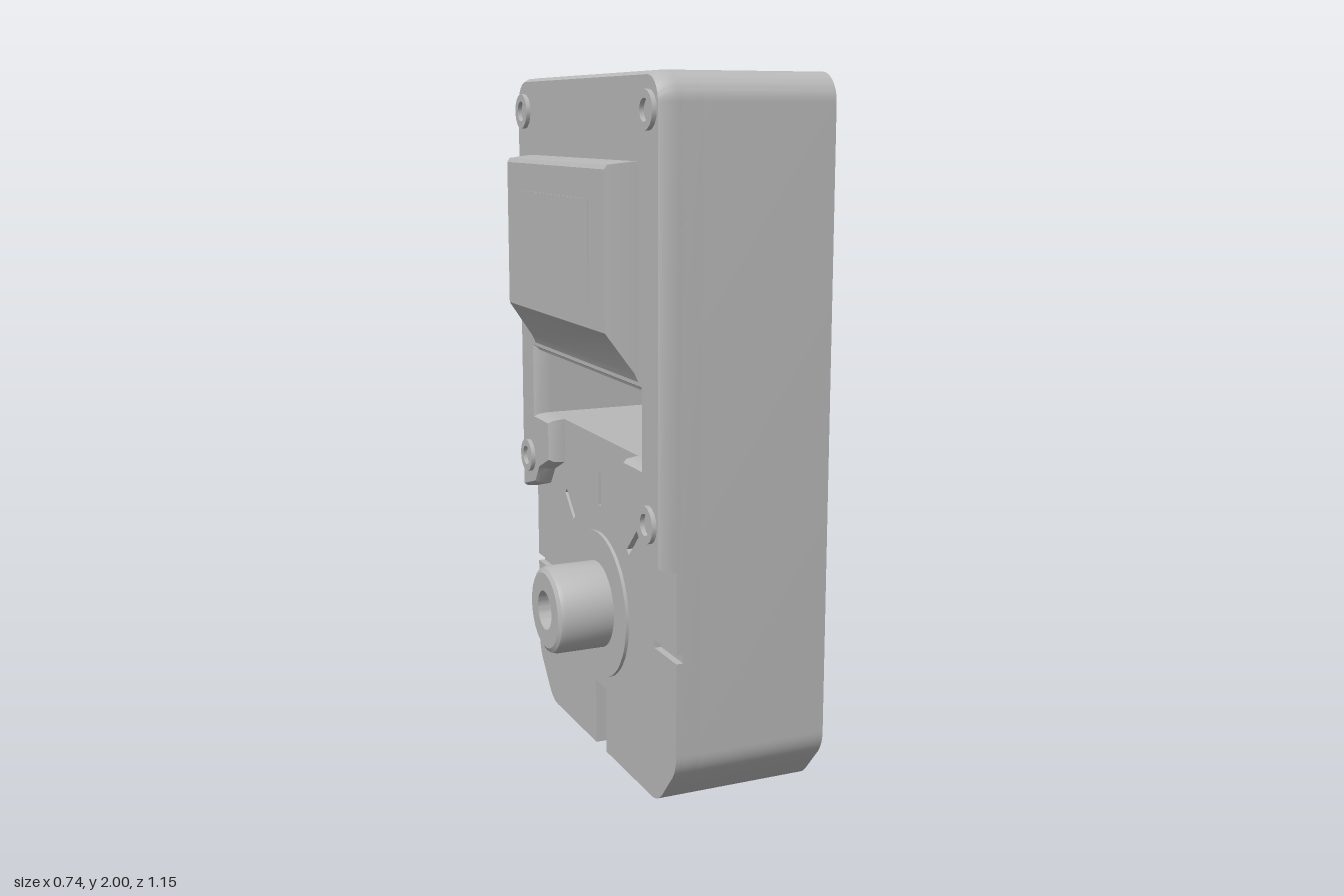
import * as THREE from 'three';
import { toCreasedNormals } from 'three/addons/utils/BufferGeometryUtils.js';

export function createModel() {
  const root = new THREE.Group();
  root.name = 'meterCase';
  const body = new THREE.Group();
  body.name = 'case';
  body.rotation.y = 0.17; // the case stands slightly turned
  root.add(body);
  const grey = new THREE.MeshStandardMaterial({ color: 0xb8b8b8 });
  grey.name = 'lightGrey';
  const C = 0.011; // middle of the case across its width

  const add = (name, geo) => {
    const m = new THREE.Mesh(toCreasedNormals(geo, 0.5), grey);
    m.name = name;
    body.add(m);
    return m;
  };
  // Extrude a (width, height) outline from x = from towards -x
  const slab = (name, shape, from, to, opts = {}) => {
    const g = new THREE.ExtrudeGeometry(shape, { depth: from - to, bevelEnabled: false, curveSegments: 8, ...opts });
    g.rotateY(-Math.PI / 2);
    g.translate(from, 0, C);
    return add(name, g);
  };
  const poly = (pts, Type = THREE.Path) => new Type(pts.map(([x, y]) => new THREE.Vector2(x, y)));
  const rect = (x0, y0, x1, y1, Type) => poly([[x0, y0], [x1, y0], [x1, y1], [x0, y1]], Type);

  // Case outline: round top corners, chamfered bottom corners
  const W = 0.545, R = 0.08;
  const outline = (notch, ticks) => {
    const s = new THREE.Shape();
    s.moveTo(-0.38, 0);
    if (notch) {
      s.lineTo(-0.04, 0); s.lineTo(-0.04, 0.2);
      s.lineTo(0.04, 0.2); s.lineTo(0.04, 0);
    }
    s.lineTo(0.38, 0);
    s.quadraticCurveTo(0.42, 0, 0.45, 0.03);
    s.lineTo(0.52, 0.11);
    s.quadraticCurveTo(W, 0.14, W, 0.18);
    if (ticks) {
      s.lineTo(W, 0.445); s.lineTo(0.4, 0.445);
      s.lineTo(0.4, 0.469); s.lineTo(W, 0.469);
    }
    s.lineTo(W, 2 - R);
    s.absarc(W - R, 2 - R, R, 0, Math.PI / 2);
    s.lineTo(-W + R, 2);
    s.absarc(-W + R, 2 - R, R, Math.PI / 2, Math.PI);
    if (ticks) {
      s.lineTo(-W, 0.469); s.lineTo(-0.4, 0.469);
      s.lineTo(-0.4, 0.445); s.lineTo(-W, 0.445);
    }
    s.lineTo(-W, 0.18);
    s.quadraticCurveTo(-W, 0.14, -0.52, 0.11);
    s.lineTo(-0.45, 0.03);
    s.quadraticCurveTo(-0.42, 0, -0.38, 0);
    s.holes.push(rect(-0.42, 0.965, 0.42, 1.17)); // through slot
    return s;
  };
  slab('mainBody', outline(false, false), 0.28, -0.105);
  slab('notchedLayer', outline(true, false), -0.105, -0.155);

  // Face plate with grooves around the dial
  const face = outline(true, true);
  for (const a of [-Math.PI / 4, 0, Math.PI / 4]) {
    const pts = [[-0.01, 0.3], [0.01, 0.3], [0.01, 0.4], [-0.01, 0.4]].map(([x, y]) =>
      [x * Math.cos(a) + y * Math.sin(a), 0.457 - x * Math.sin(a) + y * Math.cos(a)]);
    face.holes.push(poly(pts));
  }
  slab('facePlate', face, -0.155, -0.175);

  // Raised cover: upper plate, rims beside the slot and two lower brackets
  const cover = new THREE.Shape();
  cover.moveTo(W, 0.7);
  cover.lineTo(W, 2 - R);
  cover.absarc(W - R, 2 - R, R, 0, Math.PI / 2);
  cover.lineTo(-W + R, 2);
  cover.absarc(-W + R, 2 - R, R, Math.PI / 2, Math.PI);
  for (const [x, y] of [[-W, 0.7], [-0.42, 0.735], [-0.38, 0.79], [-0.29, 0.83], [-0.29, 0.965], [-0.42, 0.965],
    [-0.42, 1.17], [0.42, 1.17], [0.42, 0.965], [0.29, 0.965], [0.29, 0.83], [0.38, 0.79], [0.42, 0.735]]) cover.lineTo(x, y);
  slab('raisedCover', cover, -0.165, -0.18,
    { bevelEnabled: true, bevelThickness: 0.045, bevelSize: 0.012, bevelOffset: -0.012, bevelSegments: 2 });

  // Screw bosses with open centres
  for (const y of [0.82, 1.9]) for (const side of [-1, 1]) {
    const ring = new THREE.Shape();
    ring.absarc(side * 0.475, y, 0.052, 0, Math.PI * 2);
    const hole = new THREE.Path();
    hole.absarc(side * 0.475, y, 0.03, 0, Math.PI * 2);
    ring.holes.push(hole);
    slab('screwBoss', ring, -0.2, -0.238);
  }

  // Display housing, narrowing towards its outer face
  const housing = new THREE.ExtrudeGeometry(poly([[-0.18, 1.17], [-0.18, 1.77], [-0.235, 1.77], [-0.305, 1.762],
    [-0.313, 1.75], [-0.313, 1.325], [-0.235, 1.215], [-0.215, 1.17]], THREE.Shape), { depth: 0.812, bevelEnabled: false });
  housing.translate(0, 0, -0.406);
  const p = housing.attributes.position;
  for (let i = 0; i < p.count; i++) {
    const t = Math.max(0, (-0.235 - p.getX(i)) / 0.078);
    p.setZ(i, p.getZ(i) * (1 - 0.04 * t));
  }
  housing.translate(0, 0, C);
  add('displayHousing', housing);
  slab('displayWindow', rect(-0.275, 1.4, 0.275, 1.67, THREE.Shape), -0.312, -0.316);

  // Dial: low disc, round knob and hollow centre
  const dial = new THREE.LatheGeometry([[0.22, -0.01], [0.22, 0.01], [0.13, 0.01], [0.13, 0.155], [0.125, 0.169],
    [0.112, 0.177], [0.058, 0.177], [0.058, 0.11], [0, 0.11]].map(([r, h]) => new THREE.Vector2(r, h)), 48);
  dial.rotateZ(Math.PI / 2);
  dial.translate(-0.175, 0.457, C);
  add('dialKnob', dial);

  return root;
}
